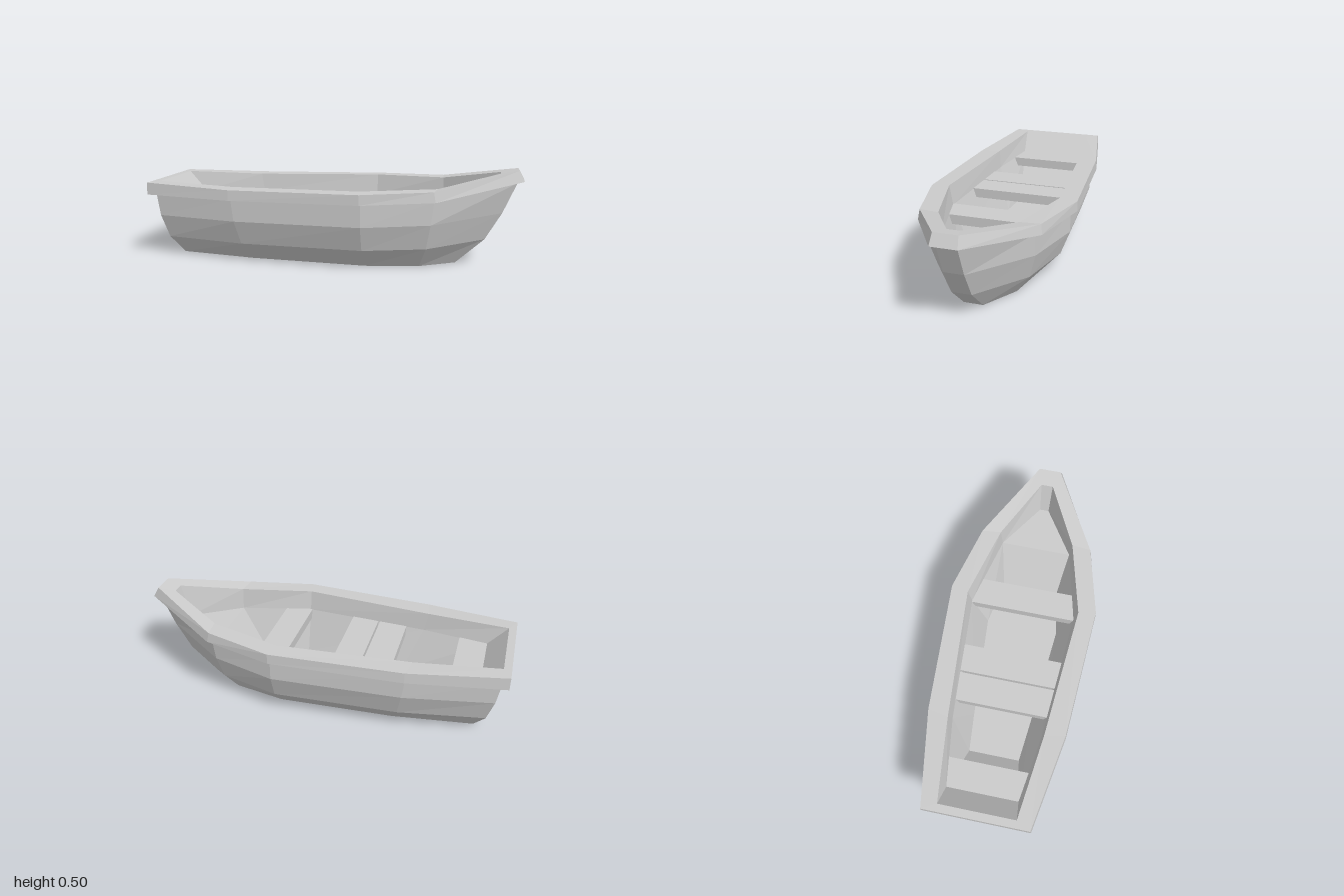
import * as THREE from 'three';

// Port-side stations run stern to bow; mirroring closes them into a ring
const ring = pts => [...pts, ...[...pts].reverse().map(([x, y, z]) => [x, y, -z])];

// Joins successive rings with quads, and optionally closes the first and last
function loft(name, halves, capStart, capEnd) {
  const rings = halves.map(ring), n = rings[0].length, pos = [];
  const tri = (...corners) => corners.forEach(p => pos.push(...p));
  for (let r = 0; r < rings.length - 1; r++) {
    for (let i = 0; i < n; i++) {
      const j = (i + 1) % n, lo = rings[r], hi = rings[r + 1];
      tri(lo[i], lo[j], hi[j]);
      tri(lo[i], hi[j], hi[i]);
    }
  }
  const first = rings[0], last = rings[rings.length - 1];
  for (let i = 1; i < n - 1; i++) {
    if (capStart) tri(first[0], first[i + 1], first[i]);
    if (capEnd) tri(last[0], last[i], last[i + 1]);
  }
  const geo = new THREE.BufferGeometry();
  geo.setAttribute('position', new THREE.Float32BufferAttribute(pos, 3));
  geo.computeVertexNormals();
  const mesh = new THREE.Mesh(geo, new THREE.MeshStandardMaterial({
    color: 0xcccccc, flatShading: true, side: THREE.DoubleSide,
  }));
  mesh.name = name;
  return mesh;
}

export function createModel() {
  const boat = new THREE.Group();
  boat.name = 'rowingBoat';

  // Outer hull, from the flat bottom up to the underside of the rail
  const hullTop = [[-0.965, 0.345, 0.24], [-0.5, 0.345, 0.33], [0.2, 0.35, 0.367], [0.56, 0.365, 0.278], [0.965, 0.44, 0.05]];
  boat.add(loft('hull', [
    [[-0.85, 0, 0.145], [-0.42, 0, 0.2], [0.2, 0, 0.222], [0.48, 0, 0.165], [0.66, 0, 0.05]],
    [[-0.91, 0.1, 0.21], [-0.46, 0.1, 0.288], [0.2, 0.105, 0.32], [0.52, 0.112, 0.242], [0.81, 0.135, 0.05]],
    [[-0.945, 0.225, 0.24], [-0.485, 0.228, 0.33], [0.2, 0.235, 0.367], [0.545, 0.245, 0.278], [0.895, 0.28, 0.05]],
    hullTop,
  ], true, false));

  // Overhanging rail
  const railInner = [[-0.96, 0.41, 0.2], [-0.52, 0.4, 0.252], [0.18, 0.41, 0.307], [0.57, 0.42, 0.205], [0.88, 0.485, 0.032]];
  boat.add(loft('rail', [
    hullTop,
    [[-1, 0.345, 0.28], [-0.5, 0.345, 0.365], [0.2, 0.355, 0.403], [0.57, 0.368, 0.315], [1, 0.45, 0.066]],
    [[-1, 0.41, 0.275], [-0.5, 0.4, 0.36], [0.2, 0.408, 0.4], [0.56, 0.42, 0.308], [0.97, 0.505, 0.06]],
    railInner,
  ]));

  // Inner wall down to seat height
  const seatY = 0.3;
  const ledge = [[-0.855, seatY, 0.188], [-0.5, seatY, 0.24], [0.18, seatY, 0.288], [0.57, seatY, 0.195], [0.83, seatY, 0.025]];
  boat.add(loft('innerWall', [railInner, ledge]));

  // Bow deck
  boat.add(loft('bowDeck', [ledge.slice(3)], false, true));

  // Well with sloping ends and a flat floor
  boat.add(loft('well', [
    [...ledge.slice(0, 4), [0.57, seatY, 0.02]],
    [[-0.61, 0.06, 0.14], [-0.4, 0.06, 0.16], [0.17, 0.06, 0.205], [0.42, 0.06, 0.16], [0.42, 0.06, 0.02]],
  ], false, true));

  // Thwarts, tapered to fit the sides: aft x, fore x, half widths
  const seats = [
    ['sternSeat', -0.86, -0.705, 0.19, 0.212],
    ['middleSeatAft', -0.4, -0.245, 0.25, 0.262],
    ['middleSeatFore', -0.235, -0.085, 0.263, 0.273],
    ['bowSeat', 0.17, 0.32, 0.29, 0.262],
  ];
  for (const [name, x0, x1, z0, z1] of seats) {
    const level = y => [[x0, y, z0], [x1, y, z1]];
    boat.add(loft(name, [level(seatY - 0.05), level(seatY + 0.003)], true, true));
  }
  return boat;
}
